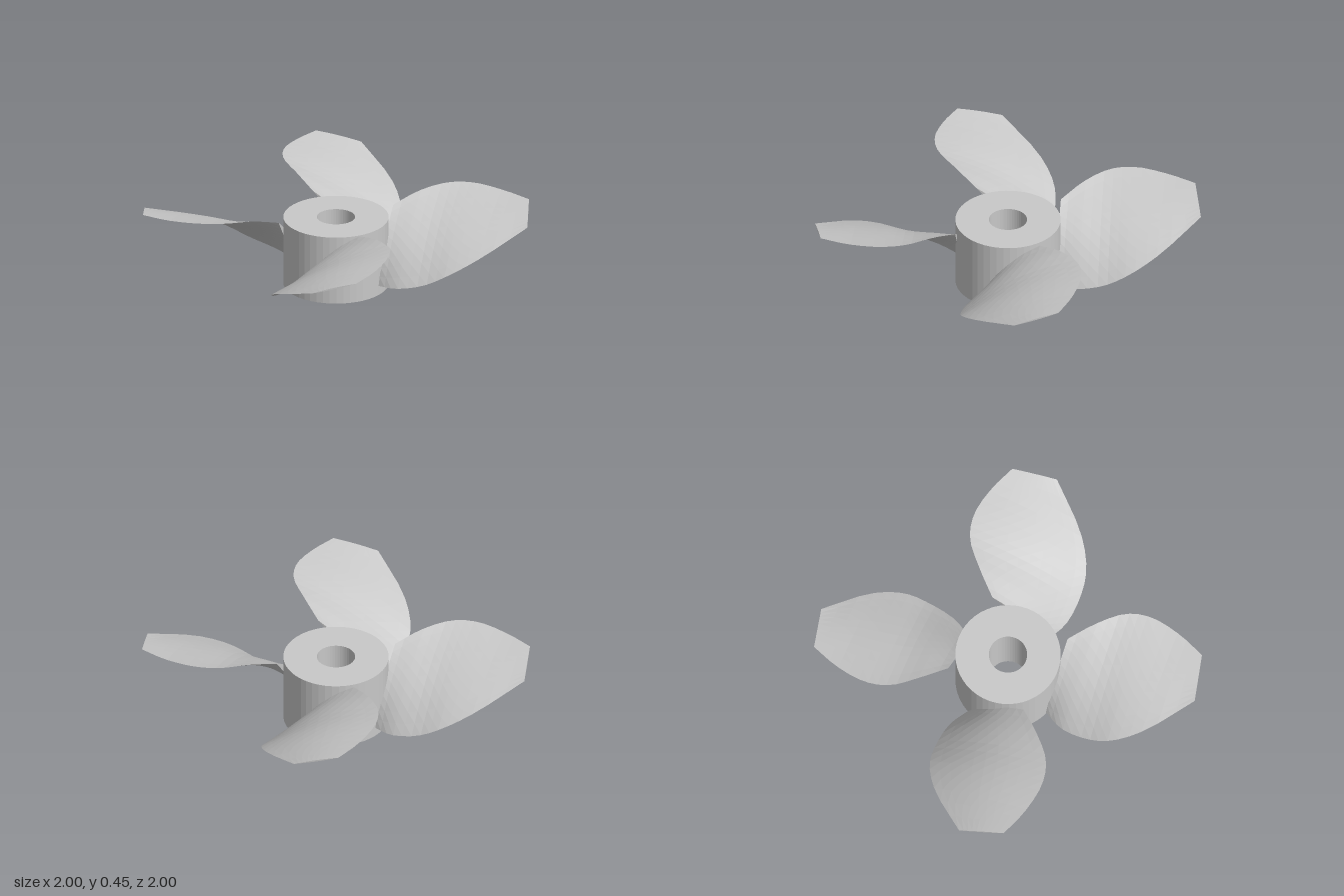
import * as THREE from 'three';

const metal = new THREE.MeshStandardMaterial({ color: 0xc8c8c8 });
metal.name = 'grey metal';

// Faceted look: separate the faces and give each its own normal
function faceted(geometry) {
  const g = geometry.index ? geometry.toNonIndexed() : geometry;
  g.computeVertexNormals();
  return g;
}

const curve = (pts) => new THREE.CatmullRomCurve3(pts.map((p) => new THREE.Vector3(...p)));

// Edges of the blade that points along +x, from root to tip
const lowEdge = curve([
  [0.26, 0.06, 0.12], [0.37, 0.08, 0.18], [0.52, 0.122, 0.2],
  [0.65, 0.185, 0.183], [0.8, 0.262, 0.095], [1.0, 0.37, -0.12],
]);
const highEdge = curve([
  [0.26, 0.392, -0.19], [0.37, 0.436, -0.305], [0.5, 0.453, -0.41],
  [0.63, 0.453, -0.44], [0.8, 0.44, -0.41], [0.95, 0.43, -0.35],
]);

// Thin twisted blade: lens-shaped sections lofted between the two edges
function bladeGeometry(stations = 14, chord = 10) {
  const ring = chord * 2;
  const positions = [];
  const index = [];
  for (let i = 0; i <= stations; i++) {
    const u = i / stations;
    const low = lowEdge.getPoint(u);
    const high = highEdge.getPoint(u);
    const camber = 0.018 * (1 - u) + 0.02 * Math.sin(Math.PI * u);
    const half = 0.016 * (1 - u) + 0.004;
    const across = high.clone().sub(low);
    const normal = new THREE.Vector3(1, 0, 0).cross(across).normalize();
    for (let j = 0; j < ring; j++) {
      const top = j <= chord;
      const v = (top ? j : ring - j) / chord;
      const bulge = Math.sin(Math.PI * v);
      const offset = bulge * (camber + (top ? half : -half));
      const p = low.clone().addScaledVector(across, v).addScaledVector(normal, offset);
      positions.push(p.x, p.y, p.z);
    }
  }
  for (let i = 0; i < stations; i++) {
    for (let j = 0; j < ring; j++) {
      const k = (j + 1) % ring;
      const a = i * ring + j, c = i * ring + k;
      index.push(a, a + ring, c, c, a + ring, c + ring);
    }
  }
  // Close the root and the tip
  const tip = stations * ring;
  for (let j = 0; j < chord; j++) {
    const t0 = j, t1 = j + 1;
    const b0 = (ring - j) % ring, b1 = ring - j - 1;
    index.push(t0, t1, b1, t0, b1, b0);
    index.push(tip + t0, tip + b1, tip + t1, tip + t0, tip + b0, tip + b1);
  }
  const g = new THREE.BufferGeometry();
  g.setAttribute('position', new THREE.Float32BufferAttribute(positions, 3));
  g.setIndex(index);
  return faceted(g);
}

export function createModel() {
  const model = new THREE.Group();
  model.name = 'propeller';

  // Hub with a bore through its centre
  const profile = [[0.1, 0], [0.275, 0], [0.275, 0.375], [0.1, 0.375], [0.1, 0]]
    .map(([r, y]) => new THREE.Vector2(r, y));
  const hub = new THREE.Mesh(faceted(new THREE.LatheGeometry(profile, 48)), metal);
  hub.name = 'hub';
  model.add(hub);

  // Four equal blades
  const geometry = bladeGeometry();
  for (let i = 0; i < 4; i++) {
    const blade = new THREE.Mesh(geometry, metal);
    blade.name = `blade${i + 1}`;
    blade.rotation.y = (i * Math.PI) / 2;
    model.add(blade);
  }
  return model;
}
